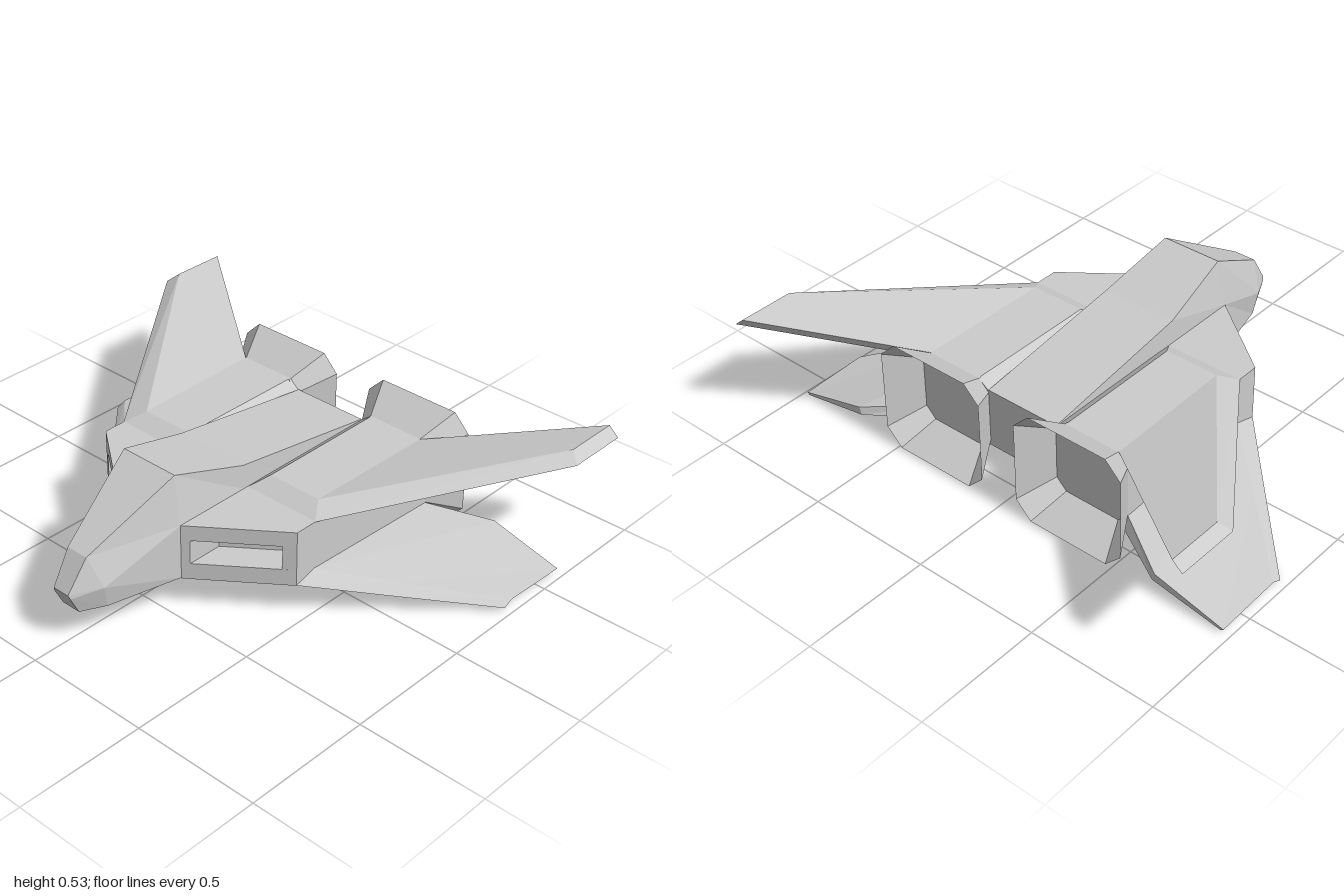
import * as THREE from 'three';

const grey = new THREE.MeshStandardMaterial({ color: 0xcccccc, flatShading: true });
const greyOpen = new THREE.MeshStandardMaterial({ color: 0xcccccc, flatShading: true, side: THREE.DoubleSide });

// Joins rings of equal point count; faces of a capped body are turned outward by its signed volume.
function loft(rings, capped = true) {
  const tris = [];
  const n = rings[0].length;
  for (let i = 0; i + 1 < rings.length; i++) {
    for (let j = 0; j < n; j++) {
      const k = (j + 1) % n;
      const [a, b, c, d] = [rings[i][j], rings[i][k], rings[i + 1][k], rings[i + 1][j]];
      tris.push([a, b, c], [a, c, d]);
    }
  }
  if (capped) {
    const first = rings[0], last = rings[rings.length - 1];
    for (let j = 1; j + 1 < n; j++) {
      tris.push([first[0], first[j + 1], first[j]], [last[0], last[j], last[j + 1]]);
    }
  }
  const v = (p) => new THREE.Vector3(...p);
  const volume = tris.reduce((s, [a, b, c]) => s + v(a).dot(v(b).cross(v(c))), 0);
  if (volume < 0) tris.forEach((t) => t.reverse());
  const geometry = new THREE.BufferGeometry();
  geometry.setAttribute('position', new THREE.Float32BufferAttribute(tris.flat(2), 3));
  geometry.computeVertexNormals();
  return geometry;
}

const mirrorRings = (rings, side) => rings.map((r) => r.map(([x, y, z]) => [side * x, y, z]));

// Horizontal slab from half an outline of [x, z] points, mirrored across x = 0
function slab(half, y0, y1) {
  const outline = [...half, ...half.map(([x, z]) => [-x, z]).reverse()];
  const shape = new THREE.Shape(outline.map(([x, z]) => new THREE.Vector2(x, -z)));
  const geometry = new THREE.ExtrudeGeometry(shape, { depth: y1 - y0, bevelEnabled: false });
  return geometry.rotateX(-Math.PI / 2).translate(0, y0, 0);
}

// Rectangle with cut corners
function octagon(x0, x1, y0, y1, cut, z) {
  return [
    [x0 + cut, y0, z], [x1 - cut, y0, z], [x1, y0 + cut, z], [x1, y1 - cut, z],
    [x1 - cut, y1, z], [x0 + cut, y1, z], [x0, y1 - cut, z], [x0, y0 + cut, z],
  ];
}

export function createModel() {
  const model = new THREE.Group();
  const add = (name, geometry, material = grey) => {
    const mesh = new THREE.Mesh(geometry, material);
    mesh.name = name;
    model.add(mesh);
  };

  // Fuselage: top, shoulder and belly points of each section, nose to tail
  const sections = [
    [[0.035, 0.215, 0.87], [0.04, 0.2, 0.865], [0.04, 0.13, 0.83]],
    [[0.045, 0.335, 0.79], [0.095, 0.22, 0.76], [0.085, 0.13, 0.74]],
    [[0.122, 0.533, 0.45], [0.155, 0.35, 0.46], [0.155, 0.133, 0.46]],
    [[0.152, 0.445, 0.15], [0.155, 0.35, 0.15], [0.155, 0.112, 0.15]],
    [[0.155, 0.354, -0.48], [0.155, 0.35, -0.48], [0.155, 0.112, -0.48]],
  ];
  add('fuselage', loft(sections.map((s) => [...s, ...s.map(([x, y, z]) => [-x, y, z]).reverse()])));

  // Hull: three slabs, the middle one notched for the air intakes
  const plain = [[0.155, 0.46], [0.47, 0.22], [0.47, -0.48]];
  const notched = [
    [0.155, 0.46], [0.18, 0.441], [0.18, 0.3], [0.43, 0.11], [0.43, 0.25], [0.47, 0.22], [0.47, -0.48],
  ];
  add('hullFloor', slab(plain, 0.13, 0.195));
  add('hullIntakes', slab(notched, 0.195, 0.29));
  add('hullRoof', slab(plain, 0.29, 0.35));

  // Upper deck and wing: lower front, upper front, upper back, lower back
  const upperWing = [
    [[0.155, 0.349, 0.13], [0.155, 0.351, 0.06], [0.155, 0.351, -0.48], [0.155, 0.349, -0.48]],
    [[0.2, 0.349, 0.13], [0.2, 0.385, 0.06], [0.2, 0.385, -0.48], [0.2, 0.349, -0.48]],
    [[0.47, 0.349, 0.13], [0.42, 0.385, 0.06], [0.43, 0.385, -0.48], [0.47, 0.349, -0.48]],
    [[1, 0.46, -0.62], [0.96, 0.495, -0.65], [0.96, 0.495, -0.87], [1, 0.46, -0.87]],
  ];

  // Lower deck and wing: lower front, leading edge, upper crease, upper back, lower back
  const lowerWing = [
    [[0.155, 0.112, 0.07], [0.155, 0.131, 0.13], [0.155, 0.14, 0.07], [0.155, 0.131, -0.48], [0.155, 0.112, -0.48]],
    [[0.2, 0.09, 0.07], [0.2, 0.131, 0.13], [0.2, 0.14, 0.07], [0.2, 0.131, -0.48], [0.2, 0.09, -0.48]],
    [[0.43, 0.09, 0.07], [0.47, 0.131, 0.22], [0.47, 0.157, 0.13], [0.47, 0.131, -0.48], [0.43, 0.09, -0.48]],
    [[0.67, 0.05, -0.11], [0.69, 0.078, -0.007], [0.69, 0.1, -0.07], [0.69, 0.09, -0.61], [0.68, 0.06, -0.61]],
    [[0.95, 0, -0.33], [0.975, 0.012, -0.3], [0.975, 0.03, -0.34], [0.975, 0.018, -0.61], [0.965, 0.01, -0.61]],
  ];

  // Engine: open flared nozzle with a flat panel at its root
  const root = octagon(0.155, 0.47, 0.09, 0.385, 0.042, -0.481);
  const exit = octagon(0.08, 0.545, 0.01, 0.462, 0.065, -0.61);
  const panel = [root.map(([x, y]) => [x, y, -0.47]), root];

  for (const [side, label] of [[1, 'left'], [-1, 'right']]) {
    add(label + 'UpperWing', loft(mirrorRings(upperWing, side)));
    add(label + 'LowerWing', loft(mirrorRings(lowerWing, side)));
    add(label + 'Nozzle', loft(mirrorRings([root, exit], side), false), greyOpen);
    add(label + 'NozzlePanel', loft(mirrorRings(panel, side)));
  }
  return model;
}
